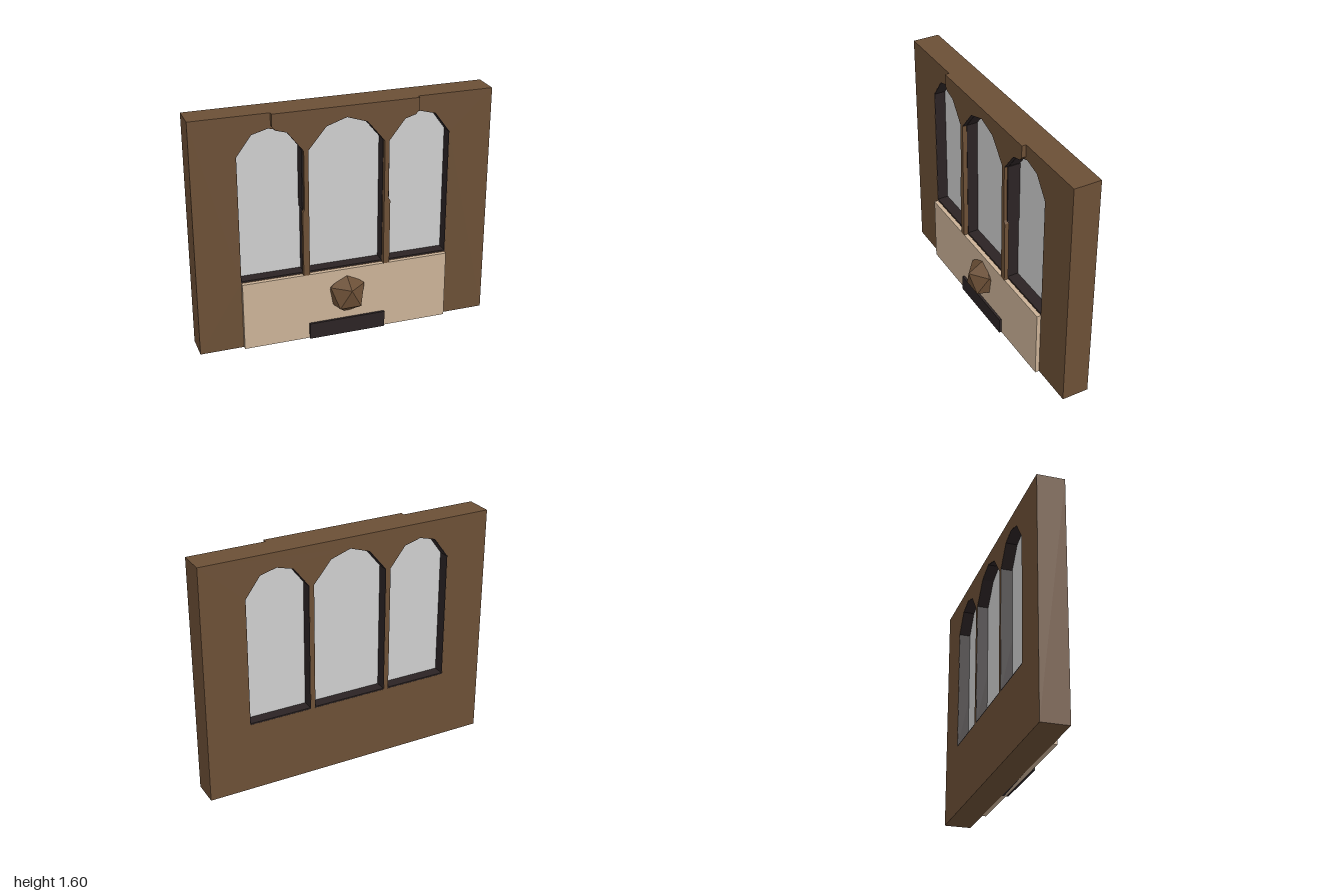
import * as THREE from 'three';

const mat = (name, color) => {
  const m = new THREE.MeshStandardMaterial({ color });
  m.name = name;
  return m;
};

// Opening outlines, counter-clockwise from the lower left
const sideOpening = [[0.285, 0.475], [0.71, 0.475], [0.71, 1.34], [0.61, 1.475], [0.5, 1.505], [0.39, 1.475], [0.285, 1.34]];
const middleOpening = [[-0.255, 0.475], [0.255, 0.475], [0.255, 1.34], [0.135, 1.485], [0, 1.53], [-0.135, 1.485], [-0.255, 1.34]];
const mirror = (pts) => pts.map(([x, y]) => [-x, y]).reverse();
const vectors = (pts) => pts.map(([x, y]) => new THREE.Vector2(x, y));

export function createModel() {
  const group = new THREE.Group();
  const brown = mat('brown wood', 0x6b4f36);
  const tan = mat('tan panel', 0xcbb297);
  const dark = mat('dark trim', 0x2b2324);
  const grey = mat('grey glass', 0xcecece);

  const add = (name, geometry, material) => {
    const mesh = new THREE.Mesh(geometry, material);
    mesh.name = name;
    group.add(mesh);
    return mesh;
  };
  const box = (name, material, x0, x1, y0, y1, z0, z1) =>
    add(name, new THREE.BoxGeometry(x1 - x0, y1 - y0, z1 - z0), material)
      .position.set((x0 + x1) / 2, (y0 + y1) / 2, (z0 + z1) / 2);
  const plate = (name, material, pts, z0, z1, holes = []) => {
    const shape = new THREE.Shape(vectors(pts));
    holes.forEach((h) => shape.holes.push(new THREE.Path(vectors(h))));
    const g = new THREE.ExtrudeGeometry(shape, { depth: z1 - z0, bevelEnabled: false });
    return add(name, g.translate(0, 0, z0), material);
  };
  // Copy of an outline moved slightly towards its middle
  const inset = (pts, d) => {
    const xs = pts.map((p) => p[0]), ys = pts.map((p) => p[1]);
    const x0 = Math.min(...xs), x1 = Math.max(...xs), y0 = Math.min(...ys), y1 = Math.max(...ys);
    const cx = (x0 + x1) / 2, cy = (y0 + y1) / 2;
    return pts.map(([x, y]) => [
      cx + (x - cx) * (1 - 2 * d / (x1 - x0)),
      cy + (y - cy) * (1 - 2 * d / (y1 - y0)),
    ]);
  };

  // Wall with three arched openings
  const openings = [mirror(sideOpening), middleOpening, sideOpening];
  plate('wall', brown, [[-1, 0], [1, 0], [1, 1.602], [-1, 1.602]], -0.16, 0.022, openings);

  // Dark reveals and the glass set halfway into them
  openings.forEach((o) => {
    plate('windowReveal', dark, o, -0.159, 0.021, [inset(o, 0.003)]);
    plate('windowGlass', grey, o, -0.084, -0.055);
    const xs = o.map((p) => p[0]);
    box('windowSill', dark, Math.min(...xs), Math.max(...xs), 0.472, 0.484, -0.159, 0.021);
  });

  // Raised tracery around the middle window, with its two mullions
  const half = [[0.485, 1.602], [0.485, 1.52], [0.465, 1.497], [0.39, 1.475], [0.285, 1.34], [0.285, 0.94],
    [0.297, 0.92], [0.297, 0.47], [0.255, 0.47], [0.255, 1.34], [0.135, 1.485]];
  plate('tracery', brown, [...half, [0, 1.53], ...mirror(half)], 0.022, 0.051);

  // Dark undersides of the raised arches
  const archLining = (pts) => {
    const low = pts.map(([x, y]) => [x, y - 0.003]).reverse();
    plate('archLining', dark, [...pts, ...low], 0.022, 0.0505);
  };
  const sideArch = [[0.285, 1.34], [0.39, 1.475], [0.465, 1.497]];
  archLining(sideArch);
  archLining(mirror(sideArch));
  archLining(middleOpening.slice(2));

  // Dark strips beside the upper mullions
  for (const s of [-1, 1]) {
    const a = s * 0.284, b = s * 0.294;
    box('mullionStrip', dark, Math.min(a, b), Math.max(a, b), 0.93, 1.34, -0.055, 0.03);
  }

  // Lower panel, step and faceted knob
  box('lowerPanel', tan, -0.708, 0.708, 0, 0.472, 0.022, 0.05);
  box('step', dark, -0.263, 0.263, 0, 0.112, 0.022, 0.066);
  const knob = new THREE.IcosahedronGeometry(0.15, 0);
  knob.rotateX(-Math.atan((1 + Math.sqrt(5)) / 2));
  knob.scale(0.92, 1, 1);
  add('knob', knob, brown).position.set(0, 0.29, 0.021);

  return group;
}
